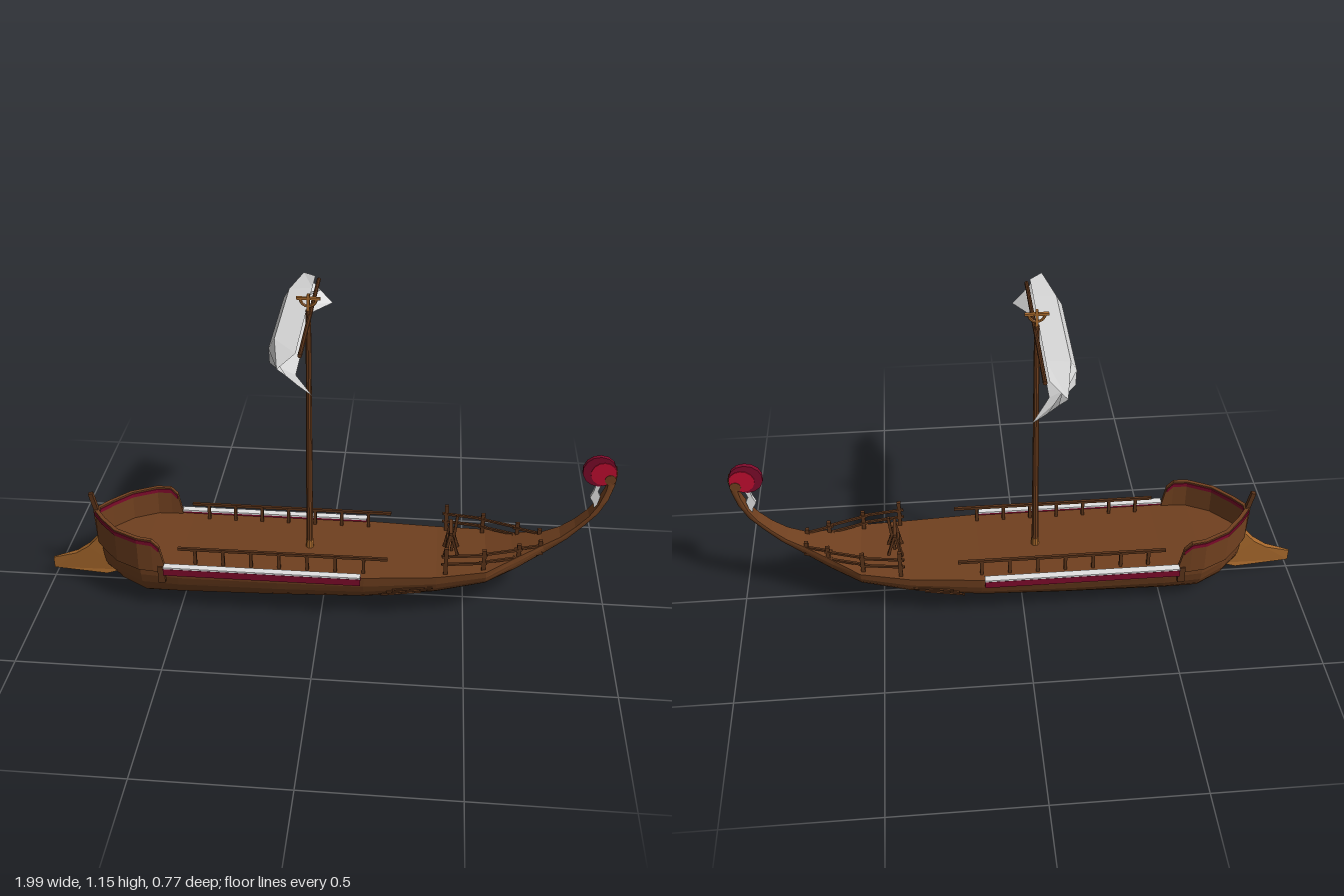
import * as THREE from 'three';

const mat = (name, color, opt = {}) => {
  const m = new THREE.MeshStandardMaterial({ color, flatShading: true, ...opt });
  m.name = name;
  return m;
};
const V = (x, y, z) => new THREE.Vector3(x, y, z);

// Closed skin over a series of rings with the same number of points
function loft(rings) {
  const n = rings[0].length, pos = [], idx = [];
  rings.forEach(r => r.forEach(p => pos.push(p.x, p.y, p.z)));
  for (let i = 0; i < rings.length - 1; i++)
    for (let j = 0; j < n; j++) {
      const a = i * n + j, b = i * n + (j + 1) % n;
      idx.push(a, b, a + n, b, b + n, a + n);
    }
  const e = (rings.length - 1) * n;
  for (let j = 1; j < n - 1; j++) idx.push(0, j + 1, j, e, e + j, e + j + 1);
  const g = new THREE.BufferGeometry();
  g.setAttribute('position', new THREE.Float32BufferAttribute(pos, 3));
  g.setIndex(idx);
  g.computeVertexNormals();
  return g;
}

// Upright wall following a plan path of [x, z, top]
function wall(path, thick, bottom, dTop) {
  return loft(path.map(([x, z, top], i) => {
    const a = path[Math.max(i - 1, 0)], b = path[Math.min(i + 1, path.length - 1)];
    const d = V(b[0] - a[0], 0, b[1] - a[1]).normalize();
    const s = V(-d.z, 0, d.x).multiplyScalar(thick / 2);
    const low = bottom ?? top - 0.02;
    return [V(x + s.x, top + dTop, z + s.z), V(x + s.x, low, z + s.z),
      V(x - s.x, low, z - s.z), V(x - s.x, top + dTop, z - s.z)];
  }));
}

function plate(points, depth) {
  const shape = new THREE.Shape(points.map(p => new THREE.Vector2(...p)));
  return new THREE.ExtrudeGeometry(shape, { depth, bevelEnabled: false }).translate(0, 0, -depth / 2);
}

export function createModel() {
  const wood = mat('hull brown', 0x70401f);
  const dark = mat('dark timber', 0x5a3319);
  const bronze = mat('ram bronze', 0xa8692c);
  const crimson = mat('crimson', 0xc00d30);
  const wine = mat('dark crimson', 0x7c0a2a);
  const white = mat('white trim', 0xe2e2e2);
  const cloth = mat('sail cloth', 0xd6d6d6, { side: THREE.DoubleSide });

  const ship = new THREE.Group();
  ship.name = 'galley';
  const add = (name, geo, material, x = 0, y = 0, z = 0, parent = ship) => {
    const m = new THREE.Mesh(geo, material);
    m.name = name;
    m.position.set(x, y, z);
    parent.add(m);
    return m;
  };
  const box = (name, material, w, h, d, x, y, z) => add(name, new THREE.BoxGeometry(w, h, d), material, x, y, z);
  const bar = (name, a, b, t, material = dark) => {
    const m = add(name, new THREE.BoxGeometry(t, t, a.distanceTo(b)), material);
    m.position.copy(a).add(b).multiplyScalar(0.5);
    m.lookAt(b);
    return m;
  };

  // Hull and sweeping stern: keel x, keel y, deck x, deck y, half width
  const stations = [
    [-0.805, 0.065, -0.815, 0.19, 0.012], [-0.77, 0.052, -0.77, 0.19, 0.065],
    [-0.72, 0.03, -0.715, 0.19, 0.125], [-0.63, 0, -0.635, 0.19, 0.168],
    [-0.5, 0.006, -0.5, 0.187, 0.178], [-0.15, 0.02, -0.15, 0.187, 0.182],
    [0.15, 0.035, 0.15, 0.187, 0.18], [0.4, 0.07, 0.4, 0.192, 0.16],
    [0.57, 0.112, 0.57, 0.207, 0.135], [0.68, 0.16, 0.66, 0.232, 0.085],
    [0.78, 0.225, 0.76, 0.268, 0.043], [0.85, 0.283, 0.82, 0.3, 0.034],
    [0.905, 0.342, 0.868, 0.34, 0.028], [0.945, 0.39, 0.91, 0.385, 0.025],
    [0.972, 0.445, 0.938, 0.43, 0.022], [0.987, 0.5, 0.957, 0.48, 0.016],
    [0.992, 0.545, 0.965, 0.525, 0.012], [0.985, 0.575, 0.962, 0.55, 0.007]];
  const SEG = 16;
  add('hull', loft(stations.map(([xb, yb, xt, yt, w]) =>
    Array.from({ length: SEG + 1 }, (_, j) => {
      const u = Math.PI * j / SEG, k = Math.pow(Math.max(Math.sin(u), 0), 0.85);
      return V(xt + (xb - xt) * k, yt + (yb - yt) * k, w * Math.cos(u));
    }))), wood);

  // Bow bulwark with painted rim
  const half = [[-0.545, 0.174, 0.2], [-0.56, 0.174, 0.272], [-0.585, 0.174, 0.298], [-0.635, 0.168, 0.3],
    [-0.72, 0.125, 0.3], [-0.78, 0.06, 0.3], [-0.815, 0.012, 0.3]];
  const bow = [...half, ...half.map(([x, z, t]) => [x, -z, t]).reverse()];
  add('bowBulwark', wall(bow, 0.014, 0.17, 0), wood);
  add('bowRim', wall(bow.slice(1, -1), 0.02, undefined, -0.006), wine);

  // Stem post and ram
  bar('stemPost', V(-0.812, 0.18, 0), V(-0.818, 0.3, 0), 0.022, wood);
  bar('stemHead', V(-0.816, 0.28, 0), V(-0.836, 0.365, 0), 0.016);
  const ram = plate([[-1, 0.037], [-0.8, 0.032], [-0.74, 0.052], [-0.78, 0.19], [-0.82, 0.19],
    [-0.86, 0.145], [-0.91, 0.11], [-1, 0.08]], 0.036);
  const rp = ram.attributes.position;
  for (let i = 0; i < rp.count; i++) rp.setZ(i, rp.getZ(i) * Math.min(1, 0.2 + (rp.getX(i) + 1) * 4.5));
  ram.computeVertexNormals();
  add('ram', ram, bronze);

  for (const s of [1, -1]) {
    // Outer walkway with painted edge
    box('walkway', wine, 0.685, 0.026, 0.026, -0.203, 0.181, s * 0.187);
    box('walkwayTop', white, 0.685, 0.006, 0.026, -0.203, 0.197, s * 0.186);
    box('walkwayBracket', dark, 0.025, 0.065, 0.016, -0.555, 0.16, s * 0.178);

    // Midship railing
    bar('sideRail', V(-0.5, 0.247, s * 0.146), V(0.23, 0.247, s * 0.146), 0.01);
    for (let i = 0; i < 7; i++)
      box('sideRailPost', dark, 0.011, 0.066, 0.011, -0.44 + i * 0.098, 0.216, s * 0.146);

    // Stern railing
    const posts = [[0.43, 0.195, 0.137], [0.56, 0.205, 0.115], [0.68, 0.235, 0.068], [0.755, 0.26, 0.036]];
    posts.forEach(([x, y, z], i) => {
      const top = i ? 0.285 : 0.3;
      box('sternRailPost', dark, 0.014, top - y + 0.02, 0.012, x, (top + y - 0.02) / 2, s * z);
      if (!i) return;
      const [px, , pz] = posts[i - 1];
      for (const h of [0.232, 0.264])
        bar('sternRail', V(px - 0.015, h, s * pz), V(x + 0.01, h, s * z), 0.008);
    });

    // Slim rubbing strakes low on the quarter
    [0.117, 0.13, 0.143].forEach((y, i) =>
      bar('strake', V(0.21 + i * 0.02, y - 0.008, s * (0.162 + i * 0.003)),
        V(0.35 + i * 0.02, y, s * (0.142 + i * 0.004)), 0.006));

    // Helm frame legs
    bar('helmLeg', V(0.425, 0.19, s * 0.035), V(0.445, 0.3, s * 0.028), 0.01);
    bar('helmBrace', V(0.475, 0.19, s * 0.03), V(0.445, 0.29, s * 0.028), 0.009);
  }
  // Helm crossbars and lever
  bar('helmBar', V(0.445, 0.295, -0.045), V(0.445, 0.295, 0.045), 0.012);
  bar('helmBar', V(0.435, 0.245, -0.035), V(0.435, 0.245, 0.035), 0.01);
  bar('helmLever', V(0.45, 0.2, 0), V(0.465, 0.345, 0), 0.01);

  // Mast, yard and masthead
  const mx = -0.053;
  add('mast', new THREE.CylinderGeometry(0.009, 0.0125, 0.92, 10), wood, mx, 0.64, 0);
  add('mastFoot', new THREE.CylinderGeometry(0.0135, 0.0145, 0.035, 10), bronze, mx, 0.2, 0);
  add('yard', new THREE.CylinderGeometry(0.007, 0.007, 0.61, 8).rotateX(Math.PI / 2), dark, mx + 0.005, 1.083, 0);
  box('mastheadPin', bronze, 0.009, 0.06, 0.012, mx, 1.125, 0);
  box('mastheadBar', bronze, 0.078, 0.008, 0.011, mx, 1.141, 0);
  add('mastheadCrescent', new THREE.TorusGeometry(0.026, 0.005, 6, 10, Math.PI).rotateZ(Math.PI),
    bronze, mx, 1.14, 0);

  // Billowing furled sail: [mid x, y, z] and [end x, y, z] for each row
  const rows = [
    [[-0.06, 1.095, 0.2], [-0.06, 1.093, 0.31]], [[-0.138, 1.088, 0.2], [-0.108, 1.075, 0.385]],
    [[-0.157, 1.055, 0.2], [-0.08, 1.05, 0.378]], [[-0.152, 1.015, 0.22], [-0.048, 1.017, 0.37]],
    [[-0.068, 0.986, 0.24], [-0.004, 0.976, 0.357]]];
  const sp = [], si = [];
  rows.forEach(([m, e], r) => {
    sp.push(e[0], e[1], -e[2], m[0], m[1], -m[2], ...m, ...e);
    for (let c = 0; r && c < 3; c++) {
      const a = (r - 1) * 4 + c;
      si.push(a, a + 4, a + 1, a + 1, a + 4, a + 5);
    }
  });
  const sail = new THREE.BufferGeometry();
  sail.setAttribute('position', new THREE.Float32BufferAttribute(sp, 3));
  sail.setIndex(si);
  sail.computeVertexNormals();
  add('sail', sail, cloth);

  // Stern crest: dark fan, bright face, curl and hanging tassel
  const disc = (r, d) => new THREE.CylinderGeometry(r, r, d, 14).rotateX(Math.PI / 2);
  add('crestFan', disc(0.057, 0.016), wine, 0.93, 0.553, 0);
  add('crestFace', disc(0.043, 0.022), crimson, 0.944, 0.546, 0);
  add('crestCurl', disc(0.019, 0.026), wood, 0.968, 0.525, 0);
  add('tassel', plate([[0.925, 0.51], [0.94, 0.5], [0.932, 0.475], [0.942, 0.455], [0.928, 0.395],
    [0.922, 0.425], [0.908, 0.45], [0.918, 0.475]], 0.014), white);

  return ship;
}
